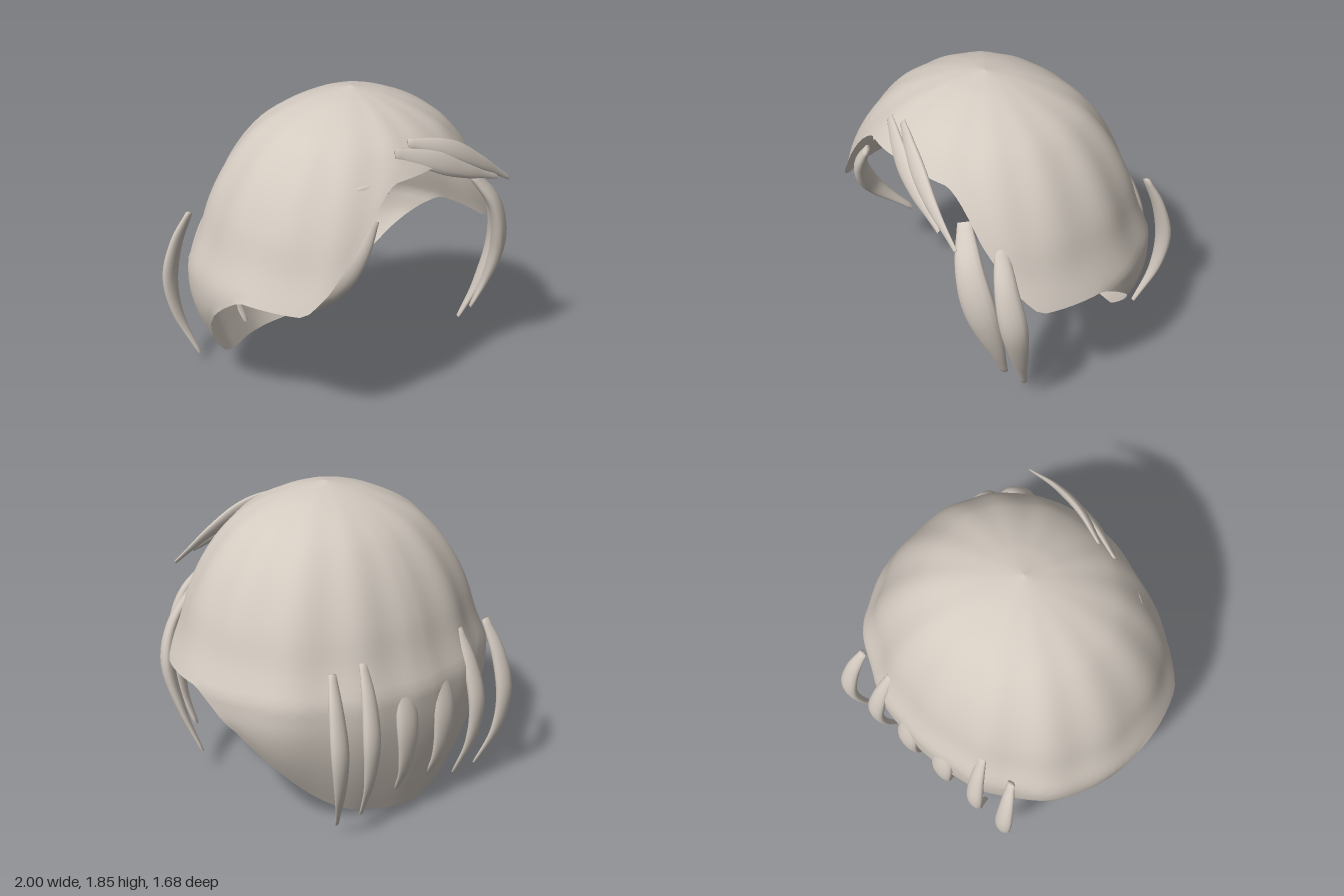
import * as THREE from 'three';

const V = (p) => new THREE.Vector3(...p);

// Smooth interpolation through sorted [key, value] pairs (no overshoot)
function curve(pts) {
  const n = pts.length;
  const d = pts.slice(1).map((p, i) => (p[1] - pts[i][1]) / (p[0] - pts[i][0]));
  const m = pts.map((_, i) => {
    if (i === 0) return d[0];
    if (i === n - 1) return d[n - 2];
    return d[i - 1] * d[i] <= 0 ? 0 : (2 * d[i - 1] * d[i]) / (d[i - 1] + d[i]);
  });
  return (x) => {
    if (x <= pts[0][0]) return pts[0][1];
    if (x >= pts[n - 1][0]) return pts[n - 1][1];
    let i = 0;
    while (x > pts[i + 1][0]) i++;
    const h = pts[i + 1][0] - pts[i][0], t = (x - pts[i][0]) / h, u = 1 - t;
    return pts[i][1] * (1 + 2 * t) * u * u + m[i] * h * t * u * u
      + pts[i + 1][1] * t * t * (3 - 2 * t) - m[i + 1] * h * t * t * u;
  };
}

// Surface from closed loops of points
function loopSurface(rows, cols, point) {
  const pos = [], idx = [];
  for (let i = 0; i <= rows; i++)
    for (let j = 0; j < cols; j++) pos.push(...point(i, j).toArray());
  for (let i = 0; i < rows; i++)
    for (let j = 0; j < cols; j++) {
      const k = (j + 1) % cols, a = i * cols, b = a + cols;
      idx.push(a + j, b + j, a + k, a + k, b + j, b + k);
    }
  const g = new THREE.BufferGeometry();
  g.setAttribute('position', new THREE.Float32BufferAttribute(pos, 3));
  g.setIndex(idx);
  g.computeVertexNormals();
  return g;
}

// Hair cap: one radius profile by height, adjusted by angle from the front
function capGeometry() {
  const profile = curve([[0.82, 1], [1, 0.925], [1.2, 0.86], [1.4, 0.76], [1.6, 0.6],
    [1.7, 0.46], [1.8, 0.22], [1.845, 0]]);
  const rimY = curve([[0, 1.5], [30, 1.475], [36, 1.43], [42, 1.34], [48, 1.2], [55, 1.05],
    [61, 0.92], [69, 0.815], [90, 0.82], [96, 0.77], [108, 0.6], [119, 0.4],
    [136, 0.15], [156, 0.03], [180, 0]]);
  const width = curve([[0, 0.9], [32, 0.93], [48, 0.945], [61, 0.98], [75, 0.99],
    [96, 1], [120, 1], [148, 0.95], [180, 0.9]]);
  const tuck = curve([[90, 0], [108, 0.03], [119, 0.1], [136, 0.19], [156, 0.19], [180, 0.14]]);
  const rows = 40, cols = 120;
  return loopSurface(rows, cols, (i, j) => {
    const a = (j / cols) * Math.PI * 2;
    const deg = Math.abs(((j / cols) * 360 + 180) % 360 - 180);
    const rim = rimY(deg), t = i / rows;
    const y = 1.845 - (1.845 - rim) * Math.pow(t, 1.5);
    const low = y < 0.7 ? (0.7 - y) / Math.max(0.7 - rim, 0.1) : 0;
    // gentle folds running down from the crown
    const fold = 1 + 0.012 * Math.cos(a * 14) * Math.sin(Math.PI * Math.min(1, t * 1.05));
    const r = profile(y) * width(deg) * (1 - tuck(deg) * Math.pow(low, 1.7)) * fold;
    return new THREE.Vector3(r * Math.sin(a), y, 0.1 + r * Math.cos(a));
  });
}

// Flattened lock of hair: thin root, full middle, narrow blunt tip
const fullness = curve([[0, 0.42], [0.2, 0.8], [0.42, 1], [0.65, 0.75], [0.85, 0.4], [1, 0.22]]);
function lockGeometry(points, outward, w, d) {
  const path = new THREE.CatmullRomCurve3(points.map(V));
  const rows = 26, cols = 14;
  return loopSurface(rows, cols, (i, j) => {
    const t = Math.min(1, Math.max(0, (i - 1) / (rows - 2)));
    const s = i === 0 || i === rows ? 0 : fullness(t);
    const T = path.getTangentAt(t);
    const side = T.clone().cross(V(outward)).normalize();
    const out = side.clone().cross(T).normalize();
    const a = (j / cols) * Math.PI * 2;
    return path.getPointAt(t)
      .addScaledVector(side, Math.cos(a) * w * s)
      .addScaledVector(out, Math.sin(a) * d * s);
  });
}

export function createModel() {
  const model = new THREE.Group();
  const hair = new THREE.MeshStandardMaterial({ color: 0xd3cac0, side: THREE.DoubleSide });
  hair.name = 'pale hair';
  const add = (name, geometry) => {
    const mesh = new THREE.Mesh(geometry, hair);
    mesh.name = name;
    model.add(mesh);
  };

  add('hairCap', capGeometry());

  // Three mirrored pairs of locks down the back
  const backLocks = [
    ['innerBackLock', [0.13, 0.14, 0.145, 0.135, 0.12], 0.08],
    ['middleBackLock', [0.375, 0.4, 0.42, 0.41, 0.38], 0.06],
    ['outerBackLock', [0.6, 0.64, 0.655, 0.63, 0.565], 0.06],
  ];
  for (const [name, xs, w] of backLocks)
    for (const s of [1, -1]) {
      const pts = [[1.04, -0.67], [0.83, -0.755], [0.58, -0.805], [0.33, -0.775], [0.07, -0.67]]
        .map(([y, z], i) => [s * xs[i], y + (name === 'innerBackLock' && i === 4 ? 0.04 : 0), z]);
      add(name, lockGeometry(pts, [0, 0, -1], w, 0.036));
    }

  // Long locks in front of the left ear
  add('leftFrontLock', lockGeometry([[0.46, 1.29, 0.65], [0.6, 1.08, 0.735], [0.69, 0.8, 0.725],
    [0.715, 0.5, 0.635], [0.685, 0.28, 0.55]], [0.6, 0, 0.8], 0.1, 0.05));
  add('leftSideLock', lockGeometry([[0.66, 1.2, 0.56], [0.78, 0.96, 0.62], [0.835, 0.72, 0.61],
    [0.8, 0.42, 0.53], [0.73, 0.15, 0.43]], [0.8, 0, 0.6], 0.08, 0.045));

  // Shorter lock on the right
  add('rightFrontLock', lockGeometry([[-0.47, 1.29, 0.62], [-0.59, 1.1, 0.59],
    [-0.645, 0.88, 0.47], [-0.55, 0.65, 0.25]], [-0.8, 0, 0.6], 0.075, 0.045));

  // Swept fringe
  add('lowerFringe', lockGeometry([[-0.25, 1.61, 0.6], [-0.04, 1.53, 0.7], [0.2, 1.42, 0.78],
    [0.46, 1.31, 0.83]], [0, 0.3, 1], 0.065, 0.025));
  add('upperFringe', lockGeometry([[-0.13, 1.635, 0.6], [0.1, 1.565, 0.71], [0.35, 1.42, 0.79],
    [0.6, 1.26, 0.83]], [0, 0.3, 1], 0.06, 0.025));
  add('fringeTip', lockGeometry([[-0.52, 1.46, 0.54], [-0.44, 1.455, 0.58], [-0.36, 1.42, 0.64]],
    [-0.4, 0.3, 1], 0.03, 0.018));

  return model;
}
